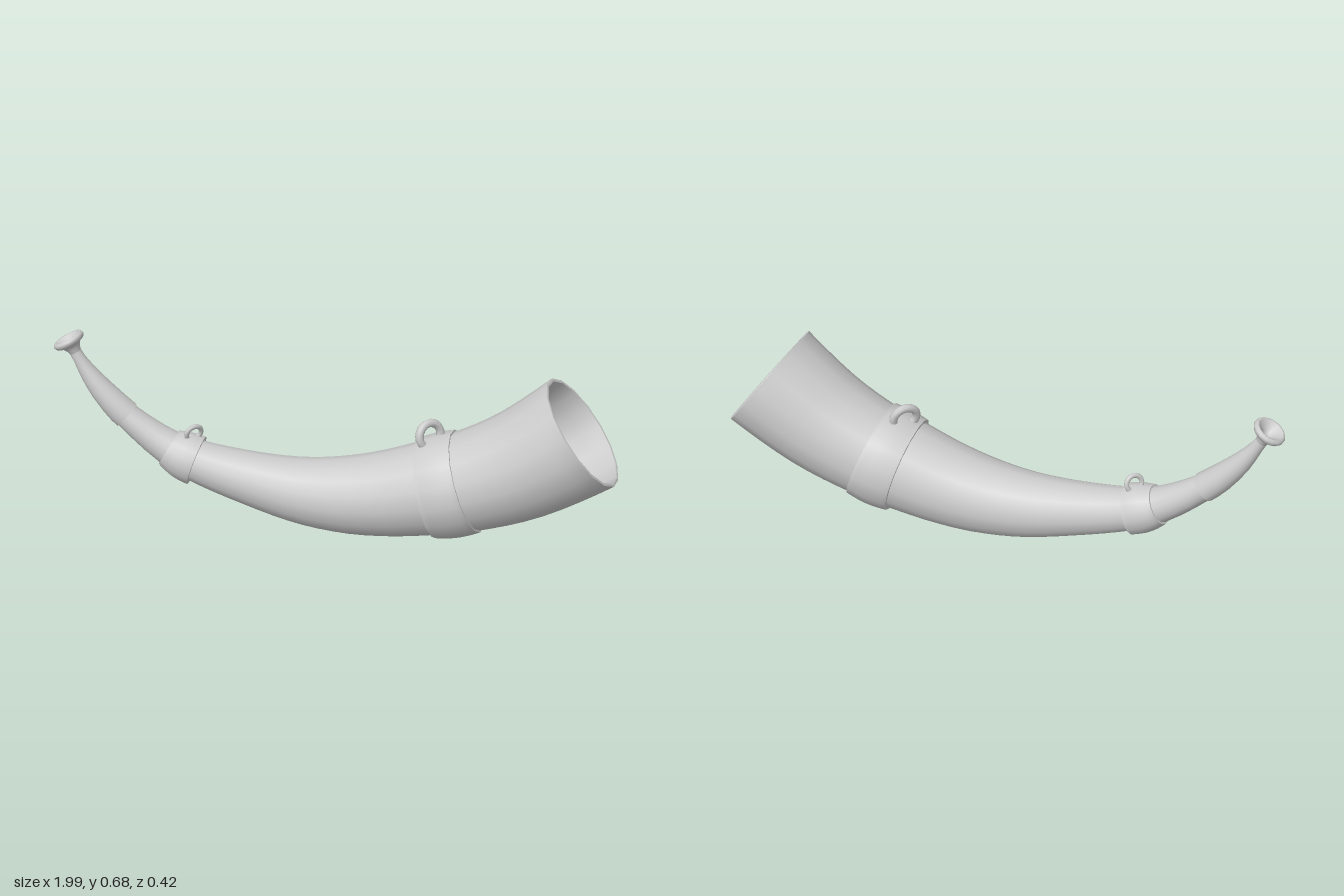
import * as THREE from 'three';

const SIDES = 16;
const mat = new THREE.MeshStandardMaterial({ color: 0xcccccc, side: THREE.DoubleSide });

// Centre line of the horn, from the mouthpiece to the bell
const spine = new THREE.CatmullRomCurve3([
  [-0.952, 0.661], [-0.925, 0.605], [-0.89, 0.543], [-0.838, 0.47], [-0.75, 0.377],
  [-0.6, 0.265], [-0.497, 0.22], [-0.28, 0.167], [-0.1, 0.141], [0.06, 0.143],
  [0.2, 0.164], [0.34, 0.2], [0.477, 0.242], [0.66, 0.326], [0.8625, 0.469], [0.95, 0.545],
].map(([x, y]) => new THREE.Vector3(x, y, 0)));

// Point and tangent of the spine where it crosses a given x
function frameAt(x) {
  let lo = 0, hi = 1;
  for (let i = 0; i < 30; i++) {
    const mid = (lo + hi) / 2;
    if (spine.getPoint(mid).x < x) lo = mid; else hi = mid;
  }
  return { p: spine.getPoint(lo), t: spine.getTangent(lo) };
}

// Smooth round skin through stations of [x on the spine, radius]
function skin(stations) {
  const pos = [], idx = [];
  stations.forEach(([x, r], i) => {
    const { p, t } = frameAt(x);
    for (let j = 0; j < SIDES; j++) {
      const a = (j / SIDES) * Math.PI * 2, c = r * Math.cos(a);
      pos.push(p.x - t.y * c, p.y + t.x * c, r * Math.sin(a));
      if (i === stations.length - 1) continue;
      const k = (j + 1) % SIDES, o = i * SIDES, n = o + SIDES;
      idx.push(o + j, o + k, n + j, o + k, n + k, n + j);
    }
  });
  const g = new THREE.BufferGeometry();
  g.setAttribute('position', new THREE.Float32BufferAttribute(pos, 3));
  g.setIndex(idx);
  g.computeVertexNormals();
  return new THREE.Mesh(g, mat);
}

// A part made of several skins, with a sharp edge where they meet
function part(name, ...skins) {
  const group = new THREE.Group();
  group.name = name;
  skins.forEach((s) => group.add(skin(s)));
  return group;
}

// Fill in stations between x0 and x1 with a radius rule
function span(x0, x1, n, radius) {
  return Array.from({ length: n + 1 }, (_, i) => {
    const x = x0 + ((x1 - x0) * i) / n;
    return [x, radius(x, i / n)];
  });
}

// Horn radius by x
const table = [[-0.75, 0.046], [-0.6, 0.064], [-0.497, 0.077], [-0.28, 0.1], [-0.1, 0.122],
  [0.06, 0.14], [0.34, 0.167], [0.477, 0.177], [0.66, 0.193], [0.8625, 0.211]];
function hornRadius(x) {
  let i = 1;
  while (i < table.length - 1 && x > table[i][0]) i++;
  const [a, ra] = table[i - 1], [b, rb] = table[i];
  return ra + ((rb - ra) * (x - a)) / (b - a);
}

// Raised band with square ends and a slightly bulging face
function band(name, x0, x1, r0, r1, bulge) {
  return part(name,
    [[x0, hornRadius(x0) - 0.005], [x0, r0]],
    span(x0, x1, 8, (x, u) => r0 + (r1 - r0) * u + bulge * Math.sin(Math.PI * u)),
    [[x1, r1], [x1, hornRadius(x1) - 0.005]]);
}

// Strap loop standing on a band, turned diagonally across the horn
function loop(name, x, rise, major, tube) {
  const { p, t } = frameAt(x);
  const holder = new THREE.Group();
  holder.name = name;
  holder.position.set(p.x - t.y * rise, p.y + t.x * rise, 0);
  holder.rotation.z = Math.atan2(t.y, t.x);
  const ring = new THREE.Mesh(new THREE.TorusGeometry(major, tube, 8, 20), mat);
  ring.rotation.y = Math.PI / 4;
  holder.add(ring);
  return holder;
}

export function createModel() {
  const model = new THREE.Group();
  const mouth = 0.8625, wall = 0.012;

  // Hollow horn body
  model.add(part('hornBody',
    [[-0.75, 0.03], [-0.75, hornRadius(-0.75)]],
    span(-0.75, mouth, 32, hornRadius),
    [[mouth, 0.211], [mouth + 0.002, 0.205], [mouth, 0.199]],
    span(mouth, -0.5, 24, (x) => hornRadius(x) - wall),
    [[-0.5, hornRadius(-0.5) - wall], [-0.5, 0]]));

  // Bands with their strap loops
  model.add(band('bellBand', 0.34, 0.477, 0.179, 0.184, 0.006));
  model.add(band('neckBand', -0.597, -0.497, 0.071, 0.092, 0.006));
  model.add(loop('bellLoop', 0.396, 0.197, 0.044, 0.015));
  model.add(loop('neckLoop', -0.541, 0.1, 0.029, 0.009));

  // Mouthpiece tube
  model.add(part('mouthpieceTube',
    [[-0.927, 0.021], [-0.91, 0.023], [-0.89, 0.029], [-0.865, 0.036], [-0.838, 0.042],
      [-0.8, 0.048], [-0.77, 0.051], [-0.748, 0.052]],
    [[-0.748, 0.052], [-0.748, 0.03]]));

  // Flared mouthpiece cup
  const profile = [[0.02, -0.004], [0.025, 0.015], [0.034, 0.029], [0.052, 0.037], [0.058, 0.046],
    [0.057, 0.054], [0.051, 0.061], [0.045, 0.06], [0.032, 0.047], [0.018, 0.034], [0.013, 0.02],
    [0.011, 0], [0, 0]].map(([r, h]) => new THREE.Vector2(r, h));
  const cup = new THREE.Mesh(new THREE.LatheGeometry(profile, SIDES), mat);
  cup.name = 'mouthpieceCup';
  cup.position.set(-0.925, 0.605, 0);
  cup.rotation.z = THREE.MathUtils.degToRad(28);
  model.add(cup);

  return model;
}
